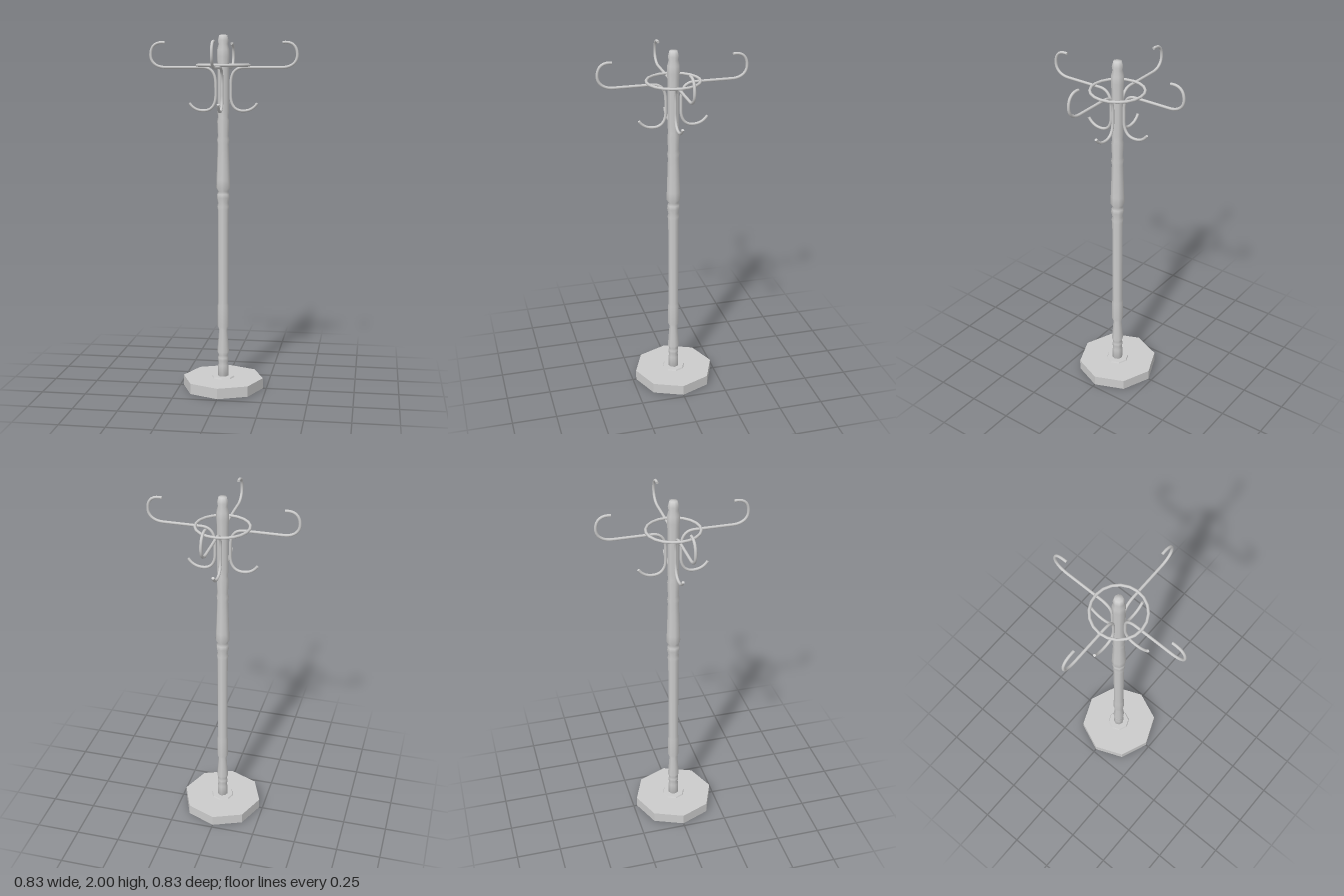
import * as THREE from 'three';

const v = (x, y) => new THREE.Vector3(x, y, 0);

export function createModel() {
  const model = new THREE.Group();
  model.name = 'coatStand';
  const smooth = new THREE.MeshStandardMaterial({ color: 0xcccccc });
  const faceted = new THREE.MeshStandardMaterial({ color: 0xcccccc, flatShading: true });

  const add = (name, geometry, material, y = 0) => {
    const mesh = new THREE.Mesh(geometry, material);
    mesh.name = name;
    mesh.position.y = y;
    model.add(mesh);
    return mesh;
  };

  // Octagonal foot and the thin collar around the post
  add('base', new THREE.CylinderGeometry(0.23, 0.23, 0.06, 8), faceted, 0.03);
  add('collar', new THREE.CylinderGeometry(0.062, 0.067, 0.008, 8), faceted, 0.063);

  // Turned post: [radius, height]
  const profile = [
    [0, 0.05], [0.03, 0.05], [0.03, 0.13], [0.026, 0.14], [0.03, 0.16], [0.03, 0.175],
    [0.026, 0.19], [0.034, 0.21], [0.024, 0.34], [0.032, 0.36], [0.032, 0.48],
    [0.029, 0.495], [0.03, 1.03], [0.034, 1.05], [0.029, 1.07], [0.036, 1.1],
    [0.034, 1.12], [0.028, 1.135], [0.04, 1.155], [0.038, 1.2], [0.031, 1.4],
    [0.035, 1.425], [0.03, 1.445], [0.034, 1.53], [0.029, 1.55], [0.032, 1.58],
    [0.032, 1.84], [0.035, 1.88], [0.034, 1.92], [0.026, 1.95], [0.03, 1.97],
    [0.022, 2], [0, 2],
  ].map(([r, y]) => new THREE.Vector2(r, y));
  add('post', new THREE.LatheGeometry(profile, 8), smooth);

  // Ring that ties the hooks together
  const ring = new THREE.TorusGeometry(0.145, 0.008, 8, 20).rotateX(Math.PI / 2);
  add('ring', ring, smooth, 1.835);

  // S-shaped hook: upper curl, horizontal arm, upright, lower curl
  const path = new THREE.CurvePath();
  const bend = (a, b, c, d) => path.add(new THREE.CubicBezierCurve3(a, b, c, d));
  bend(v(0.328, 1.958), v(0.38, 1.965), v(0.408, 1.94), v(0.408, 1.89));
  bend(v(0.408, 1.89), v(0.408, 1.845), v(0.37, 1.823), v(0.325, 1.823));
  path.add(new THREE.LineCurve3(v(0.325, 1.823), v(0.115, 1.823)));
  bend(v(0.115, 1.823), v(0.065, 1.823), v(0.042, 1.79), v(0.042, 1.73));
  path.add(new THREE.LineCurve3(v(0.042, 1.73), v(0.042, 1.67)));
  bend(v(0.042, 1.67), v(0.042, 1.61), v(0.07, 1.585), v(0.11, 1.585));
  bend(v(0.11, 1.585), v(0.145, 1.585), v(0.17, 1.597), v(0.19, 1.627));
  const hookGeometry = new THREE.TubeGeometry(path, 60, 0.008, 8);

  for (let i = 0; i < 4; i++) {
    const hook = new THREE.Group();
    hook.name = 'hook' + (i + 1);
    hook.add(new THREE.Mesh(hookGeometry, smooth));
    // Flat caps on both tips
    for (const t of [0, 1]) {
      const cap = new THREE.Mesh(new THREE.CircleGeometry(0.008, 8), smooth);
      cap.name = 'hookTip';
      cap.position.copy(path.getPoint(t));
      const out = path.getTangent(t).multiplyScalar(t ? 1 : -1);
      cap.quaternion.setFromUnitVectors(new THREE.Vector3(0, 0, 1), out);
      hook.add(cap);
    }
    hook.rotation.y = (i * Math.PI) / 2;
    model.add(hook);
  }
  return model;
}
